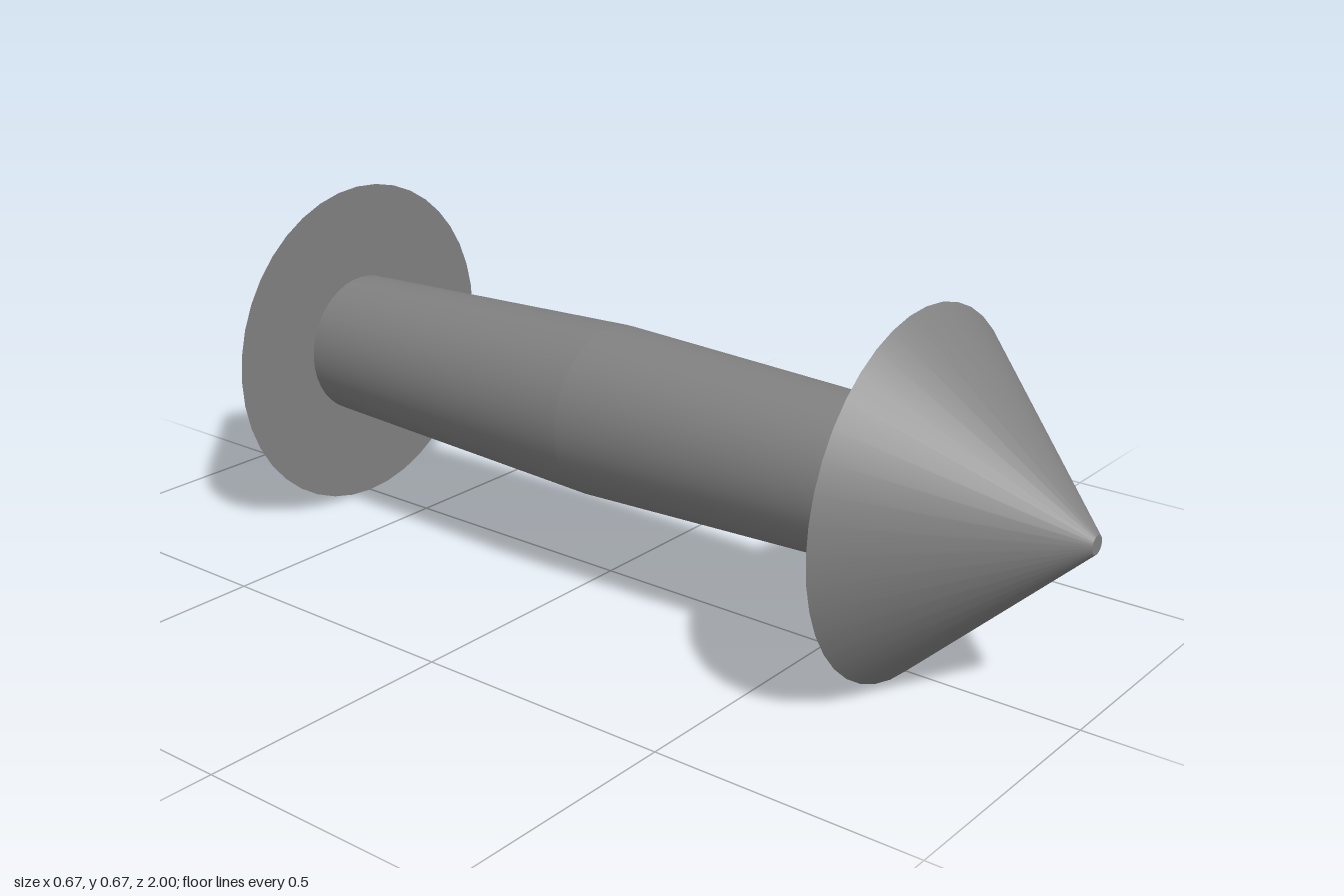
import * as THREE from 'three';

const RIM = 0.333;      // cone base radius, also the axis height
const TIP = 0.017;      // blunt tip radius
const BASE_Z = 0.667;   // where the shaft meets the cone
const SEGMENTS = 40;

export function createModel() {
  const grey = new THREE.MeshStandardMaterial({ color: 0x808080 });
  grey.name = 'grey';
  const model = new THREE.Group();
  model.name = 'doubleEndedSpindle';

  // Tapered round section along +z, from z0 to z1
  const section = (name, r0, r1, z0, z1, open) => {
    const g = new THREE.CylinderGeometry(r1, r0, z1 - z0, SEGMENTS, 1, open);
    g.rotateX(Math.PI / 2).translate(0, 0, (z0 + z1) / 2);
    const mesh = new THREE.Mesh(g, grey);
    mesh.name = name;
    return mesh;
  };

  // Two identical halves, the back one turned around the vertical axis
  for (const [side, turn] of [['front', 0], ['back', Math.PI]]) {
    const half = new THREE.Group();
    half.name = side + 'Half';
    half.add(
      section(side + 'Shaft', 0.165, 0.142, 0, BASE_Z, true),
      section(side + 'Cone', RIM, TIP, BASE_Z, 1, false)
    );
    half.rotation.y = turn;
    half.position.y = RIM;
    model.add(half);
  }
  return model;
}
